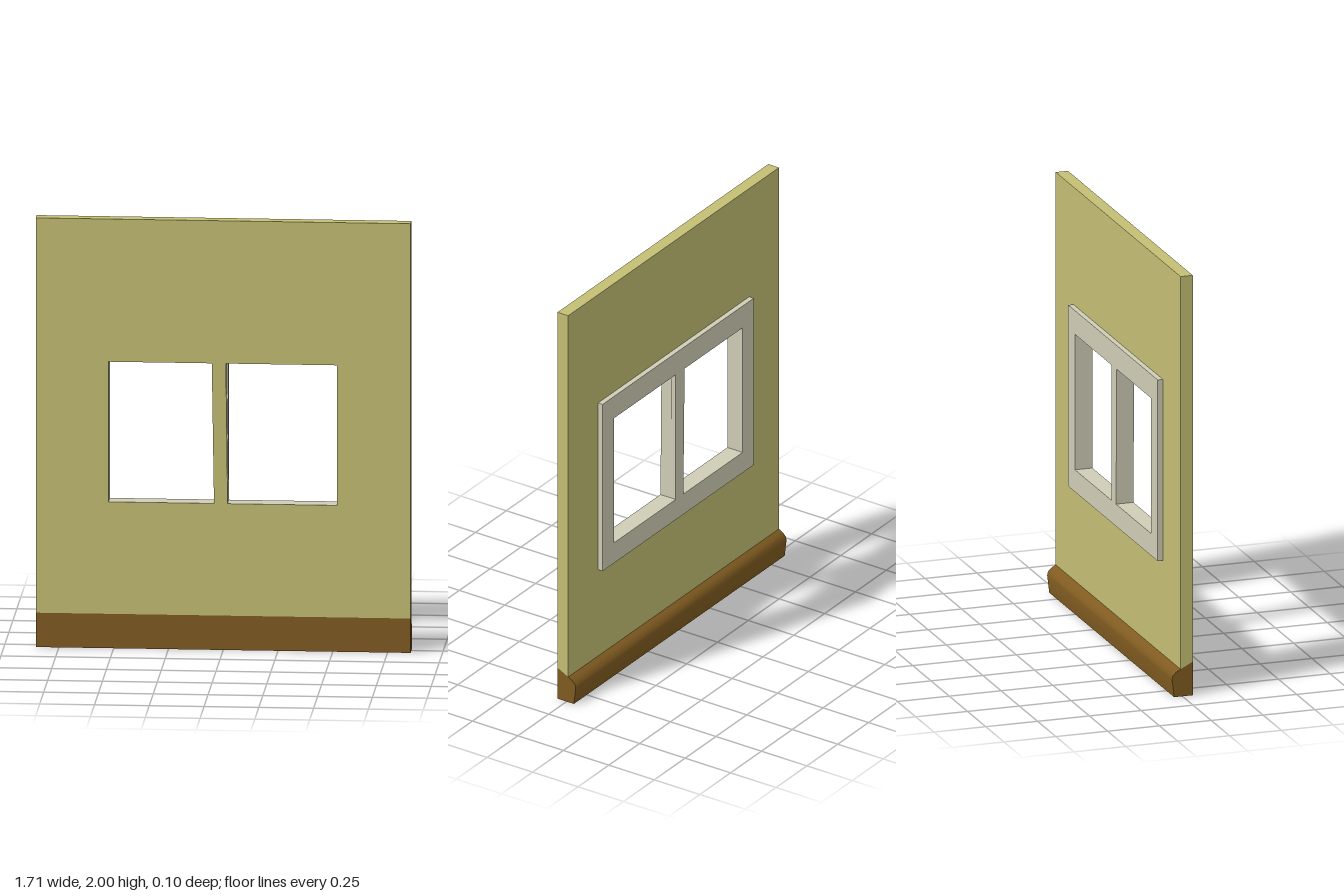
import * as THREE from 'three';
import { toCreasedNormals } from 'three/addons/utils/BufferGeometryUtils.js';

const HALF = 0.855, FRONT = 0.05, BACK = -0.009;
const SEAM_FRONT = 0.16, SEAM_BACK = 0.13;

const points = (list) => list.map(([x, y]) => new THREE.Vector2(x, y));
const rect = (x0, y0, x1, y1) => [[x0, y0], [x1, y0], [x1, y1], [x0, y1]];

// Flat panel with openings, extruded from z0 to z1
function panel(outline, holes, z0, z1) {
  const shape = new THREE.Shape(points(outline));
  for (const h of holes) shape.holes.push(new THREE.Path(points(h)));
  const geo = new THREE.ExtrudeGeometry(shape, { depth: z1 - z0, bevelEnabled: false });
  return geo.translate(0, 0, z0);
}

export function createModel() {
  const wallPaint = new THREE.MeshStandardMaterial({ color: 0xc4bf74 });
  wallPaint.name = 'wallPaint';
  const framePaint = new THREE.MeshStandardMaterial({ color: 0xd0ceb6 });
  framePaint.name = 'framePaint';
  const brownWood = new THREE.MeshStandardMaterial({ color: 0x805b20 });
  brownWood.name = 'brownWood';

  const model = new THREE.Group();
  model.name = 'windowWall';
  const add = (name, geo, material) => {
    const mesh = new THREE.Mesh(geo, material);
    mesh.name = name;
    model.add(mesh);
  };

  // Wall with two openings; the post between them leans slightly
  const wallGeo = panel(rect(-HALF, SEAM_FRONT, HALF, 2), [
    [[-0.523, 0.682], [-0.042, 0.682], [-0.052, 1.335], [-0.523, 1.335]],
    [[0.02, 0.682], [0.52, 0.682], [0.52, 1.335], [0.012, 1.335]],
  ], BACK, FRONT);

  // Slope the bottom edge down toward the back, where it meets the skirting
  const pos = wallGeo.attributes.position;
  for (let i = 0; i < pos.count; i++) {
    if (pos.getY(i) < SEAM_FRONT + 0.001 && pos.getZ(i) < 0) pos.setY(i, SEAM_BACK);
  }
  wallGeo.computeVertexNormals();

  // Faces and outer edges in wall paint, linings of the openings in frame paint
  const outerEnd = wallGeo.groups[0].count + 24;
  wallGeo.clearGroups();
  wallGeo.addGroup(0, outerEnd, 0);
  wallGeo.addGroup(outerEnd, pos.count - outerEnd, 1);
  add('wall', wallGeo, [wallPaint, framePaint]);

  // Raised window frame on the back
  add('windowFrame', panel(rect(-0.613, 0.577, 0.613, 1.44), [
    [[-0.523, 0.682], [-0.042, 0.682], [-0.052, 1.327], [-0.523, 1.327]],
    rect(0.02, 0.682, 0.52, 1.327),
  ], -0.034, BACK), framePaint);

  // Skirting: moulded profile (depth toward the back, height) run along x
  const profile = [
    [-FRONT, 0], [0.04, 0], [0.05, 0.083], [0.047, 0.1],
    [0.03, 0.118], [-BACK, SEAM_BACK], [-FRONT, SEAM_FRONT],
  ];
  const skirtingGeo = panel(profile, [], -HALF, HALF).rotateY(Math.PI / 2);
  add('skirting', toCreasedNormals(skirtingGeo, 0.65), brownWood);

  return model;
}
